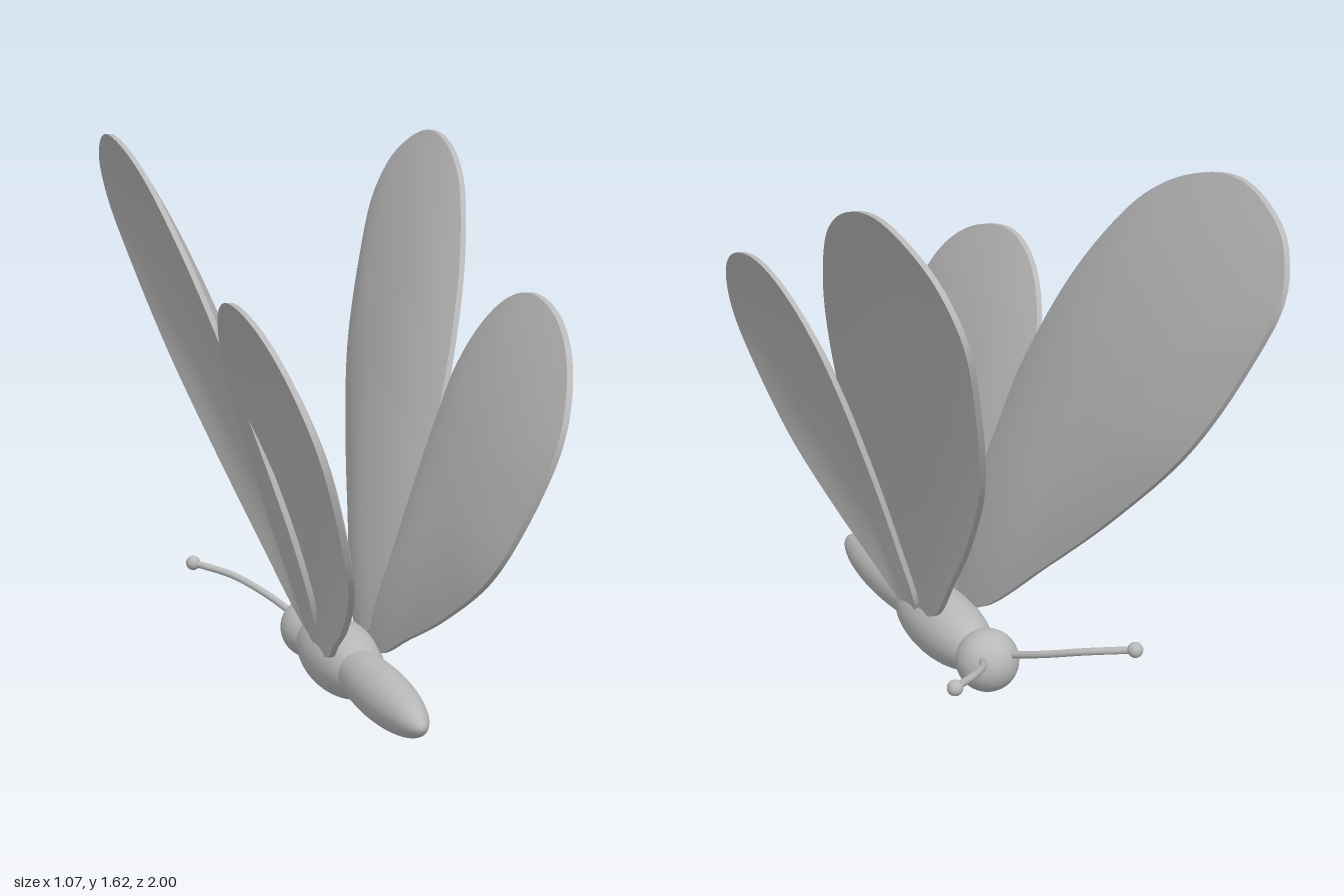
import * as THREE from 'three';

const STEPS = 112, RINGS = 16;

// Outlines as [z, y], counter-clockwise seen from +x
const FORE = {
  outline: [[0.0, 0.187], [-0.29, 0.42], [-0.56, 0.66], [-0.8, 0.92], [-0.94, 1.18], [-0.997, 1.375],
    [-0.94, 1.5], [-0.82, 1.575], [-0.64, 1.617], [-0.42, 1.58], [-0.235, 1.49], [-0.1, 1.365], [0.03, 1.19],
    [0.14, 0.955], [0.2, 0.74], [0.24, 0.49], [0.21, 0.29], [0.12, 0.17]],
  centre: [-0.33, 0.93], rootX: 0.08, slope: 0.312, depth: 0.075,
};
const HIND = {
  outline: [[0.245, 0.15], [0.11, 0.17], [0.08, 0.405], [0.085, 0.645], [0.13, 0.91], [0.2, 1.055],
    [0.33, 1.17], [0.5, 1.22], [0.73, 1.184], [0.89, 1.09], [0.98, 0.965], [1.0, 0.86], [0.945, 0.67],
    [0.84, 0.5], [0.62, 0.34], [0.41, 0.23]],
  centre: [0.52, 0.72], rootX: 0.09, slope: 0.325, depth: 0.06,
};

// Thin leaning shell, dished towards the body; side is +1 (left) or -1 (right)
function wingGeometry({ outline, centre, rootX, slope, depth }, side) {
  const curve = new THREE.CatmullRomCurve3(outline.map(([z, y]) => new THREE.Vector3(0, y, z)), true);
  const edge = curve.getSpacedPoints(STEPS).slice(0, STEPS);
  const pos = [], idx = [];
  const tri = (a, b, c) => (side > 0 ? idx.push(a, b, c) : idx.push(a, c, b));
  const addPoint = (p, r, inset) => {
    const y = centre[1] + (p.y - centre[1]) * r;
    const z = centre[0] + (p.z - centre[0]) * r;
    const dish = depth * (1 - Math.pow(r, 2.5));
    pos.push(side * (rootX + (y - 0.16) * slope - dish - inset), y, z);
  };
  // Joins two rows of points that start at index a and index b
  const joinRows = (a, b) => {
    for (let j = 0; j < STEPS; j++) {
      const k = (j + 1) % STEPS;
      tri(a + j, b + j, b + k);
      tri(a + j, b + k, a + k);
    }
  };
  // Outer and inner faces
  for (const inset of [0, 0.017]) {
    const start = pos.length / 3;
    for (let i = 0; i <= RINGS; i++) edge.forEach((p) => addPoint(p, Math.max(i / RINGS, 0.002), inset));
    for (let i = 0; i < RINGS; i++) {
      const a = start + i * STEPS, b = a + STEPS;
      if (inset === 0) joinRows(a, b); else joinRows(b, a);
    }
  }
  // Rim
  const rim = pos.length / 3;
  for (const inset of [0, 0.017]) edge.forEach((p) => addPoint(p, 1, inset));
  joinRows(rim, rim + STEPS);

  const g = new THREE.BufferGeometry();
  g.setAttribute('position', new THREE.Float32BufferAttribute(pos, 3));
  g.setIndex(idx);
  g.computeVertexNormals();
  return g;
}

export function createModel() {
  const group = new THREE.Group();
  const grey = new THREE.MeshStandardMaterial({ color: 0xb8b8b8 });
  grey.name = 'plain grey';

  const add = (name, geometry) => {
    const mesh = new THREE.Mesh(geometry, grey);
    mesh.name = name;
    group.add(mesh);
    return mesh;
  };
  const ellipsoid = (name, radius, halfLength, x, y, z) => {
    const g = new THREE.SphereGeometry(1, 40, 28).rotateX(Math.PI / 2);
    add(name, g.scale(radius, radius, halfLength).translate(x, y, z));
  };

  // Body
  ellipsoid('head', 0.095, 0.095, 0, 0.115, -0.208);
  ellipsoid('thorax', 0.107, 0.28, 0, 0.108, 0.1);
  ellipsoid('abdomen', 0.077, 0.37, 0, 0.112, 0.48);

  // Paired parts
  for (const [side, label] of [[1, 'left'], [-1, 'right']]) {
    add(label + 'Forewing', wingGeometry(FORE, side));
    add(label + 'Hindwing', wingGeometry(HIND, side));

    const path = new THREE.CatmullRomCurve3([
      [0.04, 0.145, -0.26], [0.1, 0.186, -0.38], [0.18, 0.225, -0.49], [0.285, 0.25, -0.585],
    ].map(([x, y, z]) => new THREE.Vector3(side * x, y, z)));
    add(label + 'Antenna', new THREE.TubeGeometry(path, 28, 0.011, 12));
    ellipsoid(label + 'AntennaTip', 0.023, 0.023, side * 0.285, 0.25, -0.585);
  }
  return group;
}
